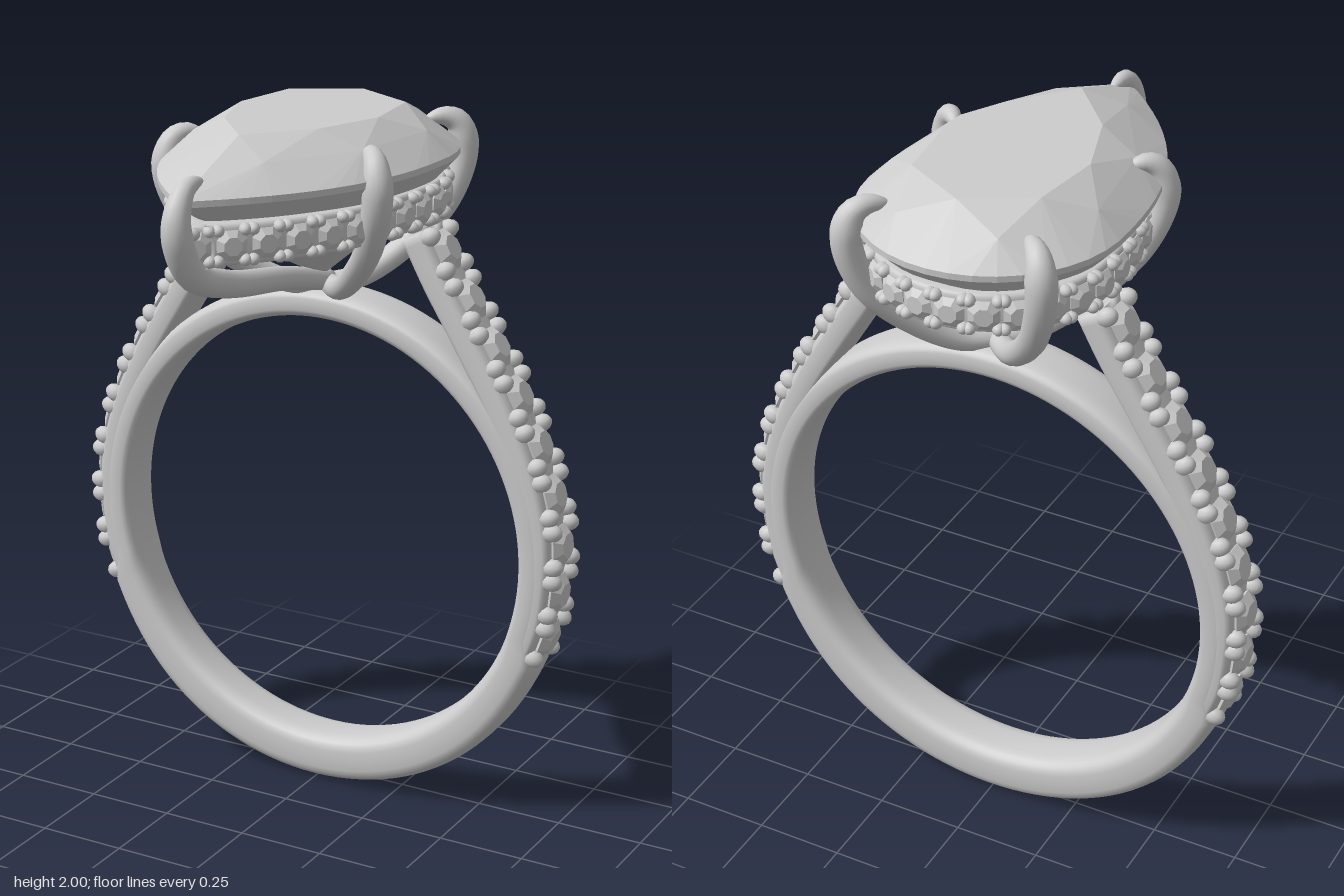
import * as THREE from 'three';
import { ConvexGeometry } from 'three/addons/geometries/ConvexGeometry.js';

const V = (x, y, z) => new THREE.Vector3(x, y, z);
const silver = new THREE.MeshStandardMaterial({ color: 0xcccccc });
silver.name = 'silverGrey';

const BAND_Z = -0.235, CENTRE_Y = 0.77;

function part(name, geometry) {
  const mesh = new THREE.Mesh(geometry, silver);
  mesh.name = name;
  return mesh;
}

// Surface through cross-sections; each frame has centre p, normal n, binormal b, half sizes h and w.
// Exponent e: 1 is an ellipse, smaller is boxier.
function loft(frames, closed, e = 1, sides = 20) {
  const pos = [], idx = [], count = frames.length;
  const pow = v => Math.sign(v) * Math.abs(v) ** e;
  for (const f of frames) {
    for (let j = 0; j < sides; j++) {
      const a = (j / sides) * Math.PI * 2;
      const q = f.p.clone()
        .addScaledVector(f.n, pow(Math.cos(a)) * f.h)
        .addScaledVector(f.b, pow(Math.sin(a)) * f.w);
      pos.push(q.x, q.y, q.z);
    }
  }
  for (let i = 0; i < (closed ? count : count - 1); i++) {
    const r = i * sides, s = ((i + 1) % count) * sides;
    for (let j = 0; j < sides; j++) {
      const k = (j + 1) % sides;
      idx.push(r + j, r + k, s + k, r + j, s + k, s + j);
    }
  }
  if (!closed) {
    const last = (count - 1) * sides;
    for (let j = 1; j < sides - 1; j++) idx.push(0, j + 1, j, last, last + j, last + j + 1);
  }
  const g = new THREE.BufferGeometry();
  g.setAttribute('position', new THREE.Float32BufferAttribute(pos, 3));
  g.setIndex(idx);
  g.computeVertexNormals();
  return g;
}

// Small faceted stone held by four beads; y points out of the setting, x along the row
const crown = new THREE.CylinderGeometry(0.58, 1, 0.32, 8).toNonIndexed();
crown.computeVertexNormals();
const girdle = new THREE.CylinderGeometry(1, 0.8, 0.3, 8).toNonIndexed();
girdle.computeVertexNormals();
const bead = new THREE.SphereGeometry(1, 10, 8);

function stone(p, n, t, radius, dx, dz, beadSize) {
  const g = new THREE.Group();
  g.name = 'setStone';
  const top = part('stoneCrown', crown), base = part('stoneGirdle', girdle);
  for (const m of [top, base]) {
    m.scale.setScalar(radius);
    m.rotation.y = Math.PI / 8;
  }
  top.position.y = radius * 0.31;
  g.add(top, base);
  for (const sx of [-1, 1]) for (const sz of [-1, 1]) {
    const m = part('bead', bead);
    m.position.set(sx * dx, radius * 0.05, sz * dz);
    m.scale.set(beadSize, beadSize * 1.25, beadSize);
    g.add(m);
  }
  g.position.copy(p);
  g.quaternion.setFromRotationMatrix(
    new THREE.Matrix4().makeBasis(t, n, t.clone().cross(n)));
  return g;
}

// Pear outline, from the point round by +x and back
const pearPoints = [];
for (let i = 0; i < 24; i++) {
  const u = 1 - i / 24;
  pearPoints.push(V(0.36 * (1 - u ** 2.5), 0, -0.24 + 0.78 * u));
}
for (let i = 0; i <= 24; i++) {
  const a = (i / 24) * Math.PI / 2;
  pearPoints.push(V(0.36 * Math.cos(a), 0, -0.24 - 0.36 * Math.sin(a)));
}
for (let i = 47; i > 0; i--) pearPoints.push(pearPoints[i].clone().setX(-pearPoints[i].x));
const pear = new THREE.CatmullRomCurve3(pearPoints, true);

function pearRing(count, scale, y, shift = 0) {
  return Array.from({ length: count }, (_, i) => {
    const p = pear.getPointAt(((i + shift) / count) % 1);
    return V(p.x * scale, y, -0.2 + (p.z + 0.2) * scale);
  });
}

function band() {
  const frames = [];
  for (let i = 0; i < 128; i++) {
    const a = (i / 128) * Math.PI * 2, c = Math.cos(a), s = Math.sin(a);
    // Thick at the bottom, thin under the head
    const outer = s < -0.36
      ? 0.745 + 0.025 * THREE.MathUtils.smoothstep(-s, 0.36, 1)
      : 0.715 + 0.03 * THREE.MathUtils.smoothstep(-s, 0.3, 0.36);
    const mid = (0.63 + outer) / 2;
    frames.push({
      p: V(c * mid, CENTRE_Y + s * mid, 0), n: V(c, s, 0), b: V(0, 0, -1),
      h: (outer - 0.63) / 2, w: 0.082,
    });
  }
  return part('band', loft(frames, true, 0.6, 28));
}

// Rising shoulder with nine stones along its outer face
function shoulder() {
  const g = new THREE.Group();
  g.name = 'shoulder';
  const curve = new THREE.CatmullRomCurve3([
    [0.70, 0.49], [0.737, 0.6], [0.756, 0.75], [0.754, 0.88], [0.71, 1.06],
    [0.62, 1.26], [0.513, 1.44], [0.42, 1.59], [0.355, 1.71],
  ].map(([x, y]) => V(x, y, 0)));
  const b = V(0, 0, -1);
  const at = (u, inset) => {
    const t = curve.getTangentAt(u), n = b.clone().cross(t);
    return { p: curve.getPointAt(u).addScaledVector(n, -inset), n, b, t };
  };
  const frames = [];
  for (let i = 0; i <= 48; i++) frames.push({ ...at(i / 48, 0.068), h: 0.042, w: 0.08 });
  g.add(part('shoulderBar', loft(frames, false, 0.5, 24)));
  for (let i = 0; i < 9; i++) {
    const { p, n, t } = at((i + 0.5) / 9, 0.03);
    g.add(stone(p, n, t, 0.062, 0.05, 0.055, 0.026));
  }
  return g;
}

// Stone-set rail under the centre gem
function halo() {
  const g = new THREE.Group();
  g.name = 'halo';
  const b = V(0, -1, 0);
  const at = (u, inset) => {
    const t = pear.getTangentAt(u), n = b.clone().cross(t);
    return { p: pear.getPointAt(u).addScaledVector(n, -inset).setY(1.755), n, b, t };
  };
  const frames = [];
  for (let i = 0; i < 96; i++) frames.push({ ...at(i / 96, 0.068), h: 0.032, w: 0.056 });
  g.add(part('haloRail', loft(frames, true, 0.4, 20)));
  for (let i = 0; i < 30; i++) {
    const { p, n, t } = at((i + 0.5) / 30, 0.04);
    g.add(stone(p, n, t, 0.044, 0.036, 0.04, 0.017));
  }
  return g;
}

// Claw: profile pairs are [fraction of the way out, height]
function prong(x, z, profile) {
  const dir = V(x, 0, z - BAND_Z);
  const b = V(dir.z, 0, -dir.x).normalize();
  const curve = new THREE.CatmullRomCurve3(
    profile.map(([f, y]) => V(dir.x * f, y, BAND_Z + dir.z * f)));
  const frames = [];
  for (let i = 0; i <= 48; i++) {
    const u = i / 48;
    const r = u < 0.8 ? 0.03 + 0.015 * u : 0.042 * Math.sqrt(Math.max(0.004, (1 - u) / 0.2));
    frames.push({
      p: curve.getPointAt(u), n: b.clone().cross(curve.getTangentAt(u)), b, h: r, w: r,
    });
  }
  return part('prong', loft(frames, false, 1, 16));
}

export function createModel() {
  const model = new THREE.Group();
  model.name = 'pearRing';

  const shank = new THREE.Group();
  shank.name = 'shank';
  shank.position.z = BAND_Z;
  const left = shoulder(), right = shoulder();
  right.rotation.y = Math.PI;
  shank.add(band(), left, right);
  model.add(shank, halo());

  // Faceted pear gem: table, crown, girdle, pavilion, culet
  model.add(part('pearGem', new ConvexGeometry([
    ...pearRing(8, 0.6, 2),
    ...pearRing(8, 0.82, 1.95, 0.5),
    ...pearRing(48, 1, 1.885),
    ...pearRing(48, 1, 1.868),
    ...pearRing(8, 0.55, 1.69, 0.5),
    V(0, 1.52, -0.2),
  ])));

  // Five claws: two at the sides, two at the back, one at the point
  const base = [[0, 1.49], [0.25, 1.505], [0.55, 1.575], [0.87, 1.7], [1, 1.84], [0.96, 1.92]];
  for (const s of [-1, 1]) {
    model.add(prong(s * 0.322, 0.085, [...base, [0.88, 1.942], [0.76, 1.93]]));
    model.add(prong(s * 0.275, -0.515, [...base, [0.86, 1.942], [0.7, 1.935]]));
  }
  model.add(prong(0, 0.555, [
    [0, 1.5], [0.3, 1.56], [0.7, 1.62], [0.92, 1.69], [1, 1.82], [0.96, 1.9], [0.91, 1.918], [0.83, 1.915],
  ]));
  return model;
}
